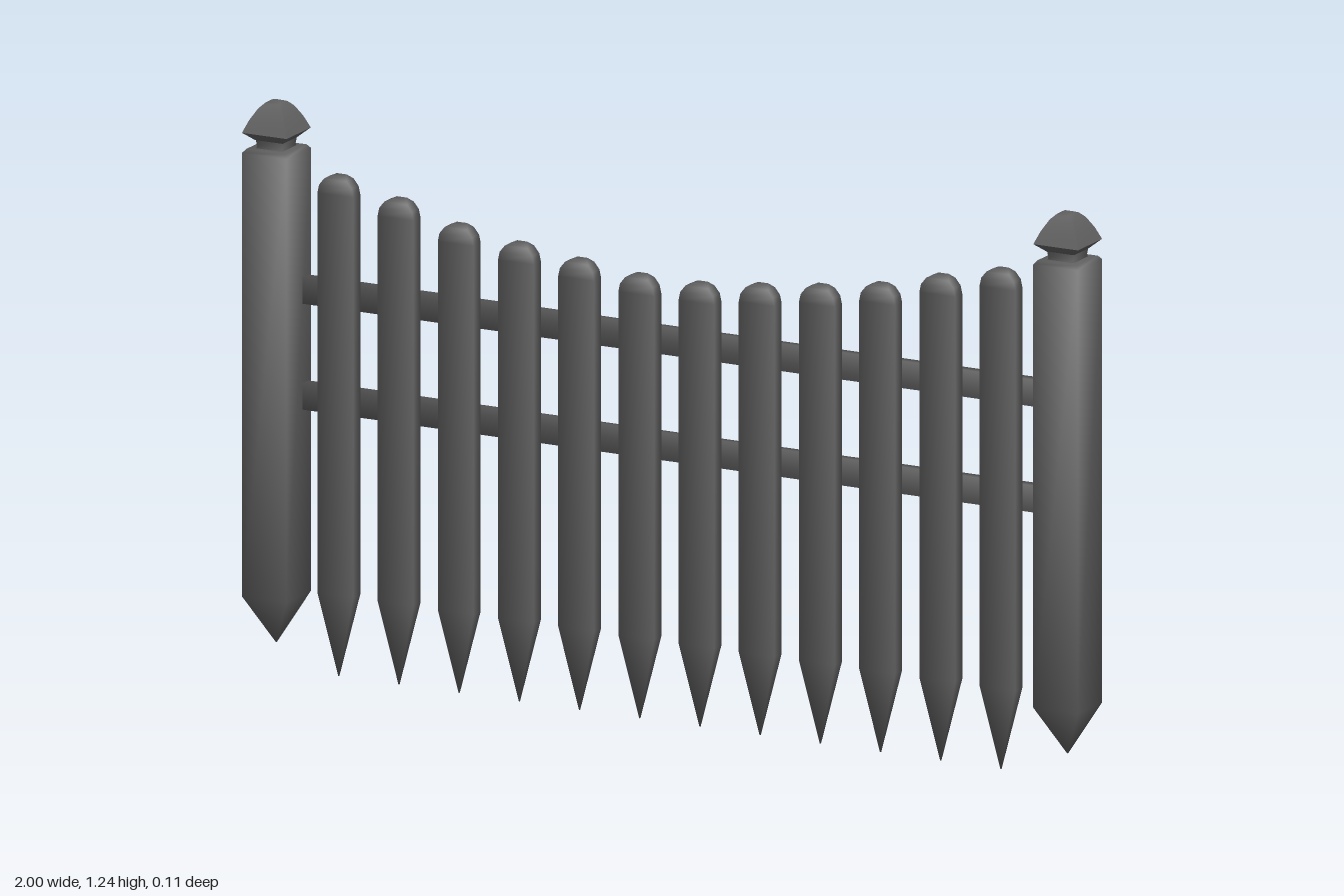
import * as THREE from 'three';
import { toCreasedNormals } from 'three/addons/utils/BufferGeometryUtils.js';

const material = new THREE.MeshStandardMaterial({ color: 0x606060 });

// Lofts rectangles upwards. Each section: [y, half width, half depth]
function loft(sections, crease = 1.7) {
  const pos = [], index = [], n = 4;
  for (const [y, w, d] of sections) pos.push(w, y, d, w, y, -d, -w, y, -d, -w, y, d);
  for (let s = 0; s < sections.length - 1; s++) {
    for (let i = 0; i < n; i++) {
      const a = s * n + i, b = s * n + (i + 1) % n;
      index.push(a, b, b + n, a, b + n, a + n);
    }
  }
  const top = (sections.length - 1) * n;
  index.push(0, 2, 1, 0, 3, 2, top, top + 1, top + 2, top, top + 2, top + 3);
  const geo = new THREE.BufferGeometry();
  geo.setAttribute('position', new THREE.Float32BufferAttribute(pos, 3));
  geo.setIndex(index);
  return toCreasedNormals(geo, crease);
}

function addPart(parent, name, geo, x = 0, y = 0, z = 0) {
  const mesh = new THREE.Mesh(geo, material);
  mesh.name = name;
  mesh.position.set(x, y, z);
  parent.add(mesh);
}

export function createModel() {
  const fence = new THREE.Group();
  fence.name = 'picketFence';

  // End posts: pointed foot, square shaft, neck and domed square finial
  const square = (list) => list.map(([y, w]) => [y, w, w]);
  const shaft = loft(square([[0.055, 0.001], [0.16, 0.0535], [1.127, 0.0535], [1.135, 0.047]]));
  const neck = loft(square([[1.125, 0.034], [1.14, 0.03], [1.16, 0.033]]));
  const finial = loft(square([[1.153, 0.033], [1.171, 0.0535], [1.198, 0.042],
    [1.222, 0.028], [1.233, 0.017], [1.237, 0.006]]), 0.9);
  for (const side of [-1, 1]) {
    const post = new THREE.Group();
    post.name = side > 0 ? 'leftPost' : 'rightPost';
    post.position.x = side * 0.9465;
    addPart(post, 'postShaft', shaft);
    addPart(post, 'postNeck', neck);
    addPart(post, 'postFinial', finial);
    fence.add(post);
  }

  // Pickets: tops follow a sagging curve, lowest in the middle
  const tops = [1.092, 1.06, 1.023, 1.001, 0.984, 0.969];
  for (let i = 0; i < 12; i++) {
    const top = tops[Math.min(i, 11 - i)];
    const geo = loft([
      [0, 0.001, 0.001],
      [0.18, 0.043, 0.0155],
      [top - 0.04, 0.043, 0.0155],
      [top - 0.022, 0.039, 0.0155],
      [top - 0.007, 0.027, 0.015],
      [top, 0.012, 0.013],
    ]);
    addPart(fence, 'picket', geo, -0.797 + i * 0.144);
  }

  // Horizontal rails running behind the pickets into both posts
  const rail = loft([[-0.91, 0.029, 0.0125], [0.91, 0.029, 0.0125]]);
  rail.rotateZ(Math.PI / 2);
  addPart(fence, 'upperRail', rail, 0, 0.824, -0.03);
  addPart(fence, 'lowerRail', rail, 0, 0.593, -0.03);

  return fence;
}
